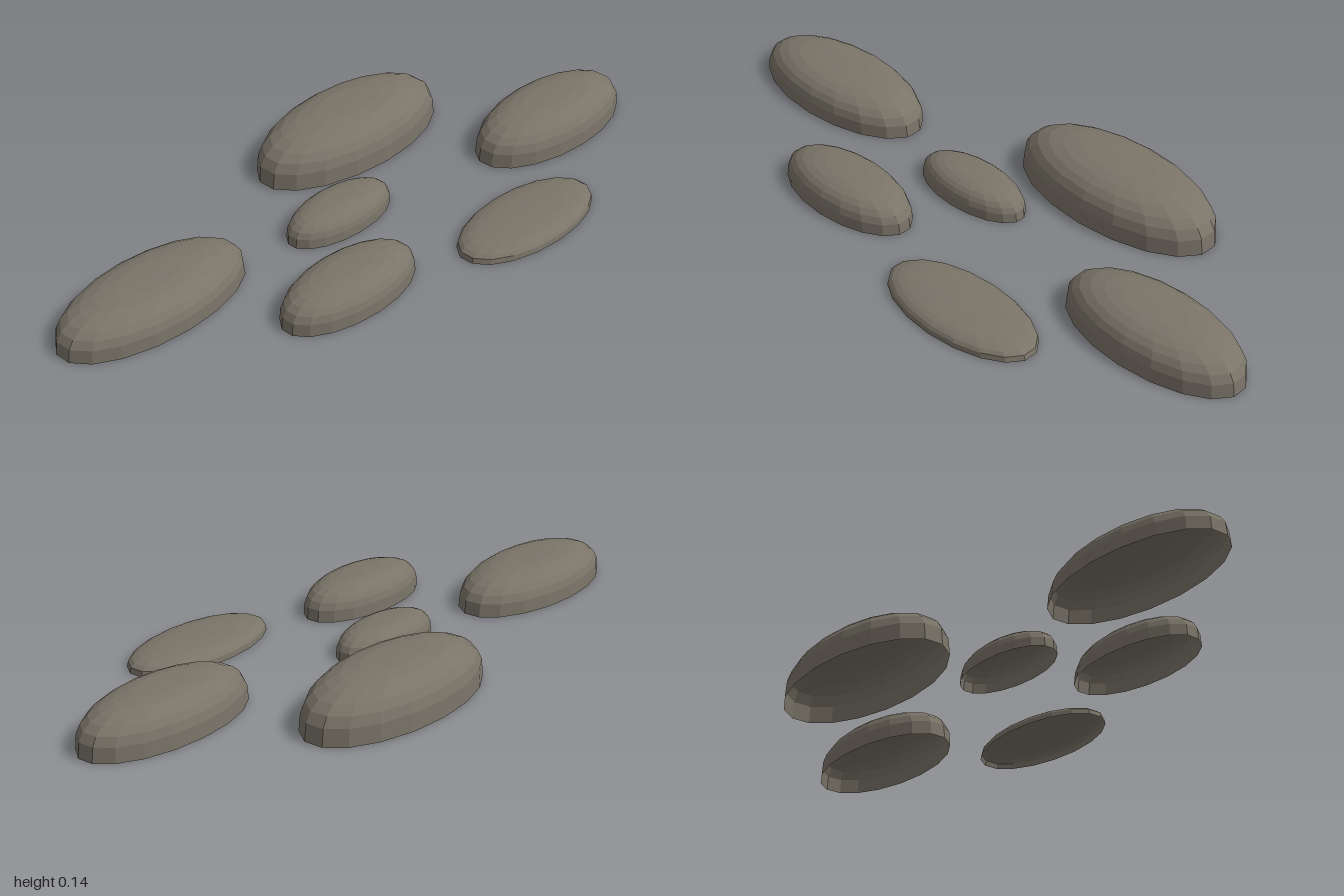
import * as THREE from 'three';

const SIDES = 18;

// Unit dome profile, from the vertical rim up to the flattened crown
function domeProfile(power = 3, rings = 7) {
  const points = [];
  for (let i = 0; i <= rings; i++) {
    const a = (i / rings) * Math.PI / 2;
    points.push(new THREE.Vector2(
      i === rings ? 0 : Math.pow(Math.cos(a), 2 / power),
      Math.pow(Math.sin(a), 2 / power)
    ));
  }
  return points;
}

// Each stone: name, x range, z range, height
const STONES = [
  ['farRightStone', -1.0, -0.39, -0.265, 0.03, 0.105],
  ['largeBackStone', -0.09, 0.58, -0.473, -0.147, 0.135],
  ['smallMiddleStone', -0.25, 0.12, -0.133, 0.047, 0.076],
  ['farLeftStone', 0.43, 1.0, -0.066, 0.213, 0.115],
  ['frontRightStone', -0.53, -0.07, 0.108, 0.335, 0.095],
  ['flatFrontStone', 0.03, 0.535, 0.224, 0.473, 0.042],
];

export function createModel() {
  const group = new THREE.Group();
  group.name = 'steppingStones';

  // Open-bottomed shells
  const stone = new THREE.MeshStandardMaterial({
    name: 'stone grey', color: 0x7a7468, flatShading: true, side: THREE.DoubleSide,
  });
  const profile = domeProfile();
  const endFit = Math.cos(Math.PI / SIDES); // ends along x are flat facets

  for (const [name, x0, x1, z0, z1, height] of STONES) {
    const geometry = new THREE.LatheGeometry(profile, SIDES);
    geometry.scale((x1 - x0) / 2 / endFit, height, (z1 - z0) / 2);
    const mesh = new THREE.Mesh(geometry, stone);
    mesh.name = name;
    mesh.position.set((x0 + x1) / 2, 0, (z0 + z1) / 2);
    group.add(mesh);
  }
  return group;
}
